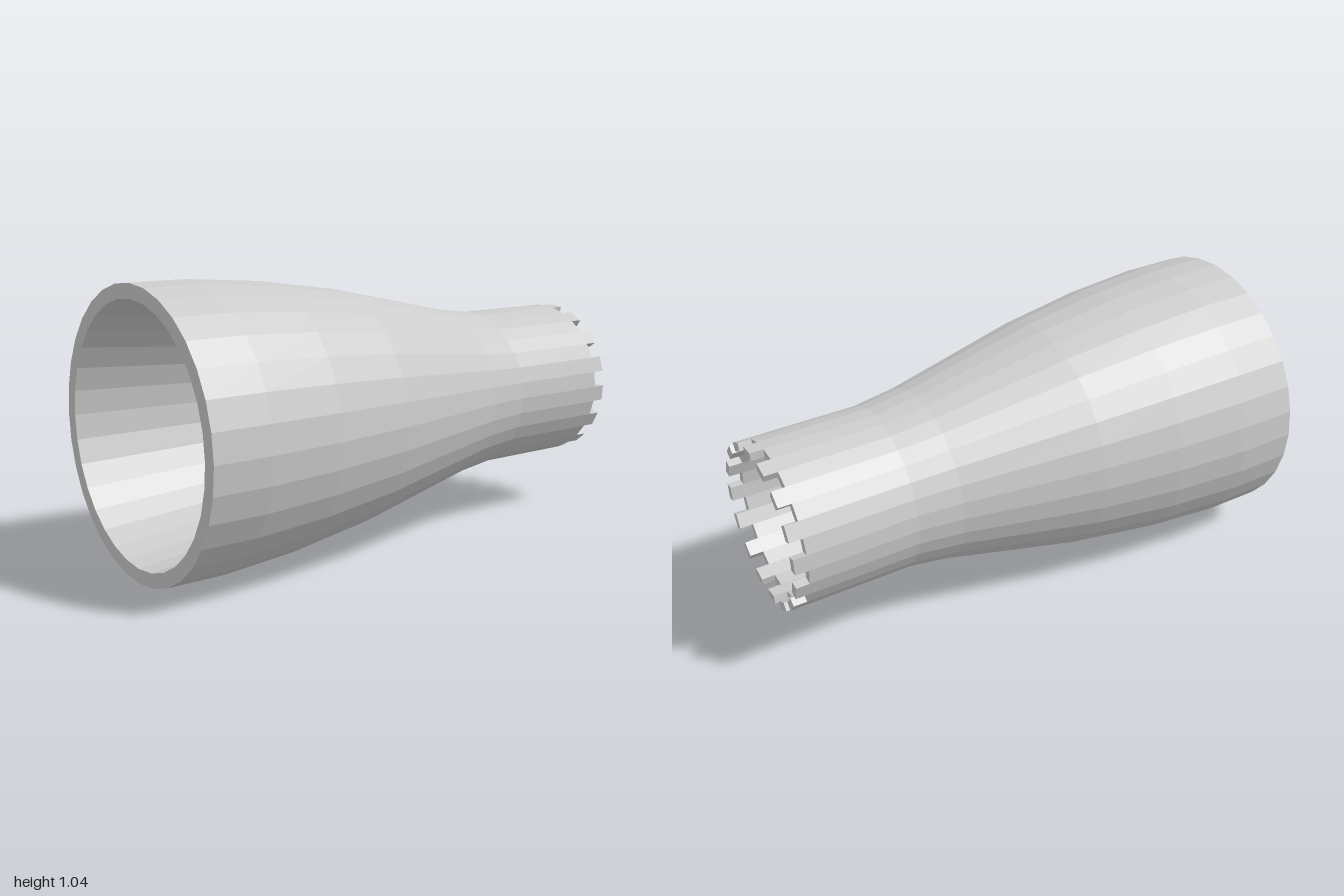
import * as THREE from 'three';

const SIDES = 32;
const STEP = (Math.PI * 2) / SIDES;
const R_OUT = 0.312, R_IN = 0.28;   // narrow end radii
const Z_BACK = -1, Z_NOTCH = -0.95; // tooth tips and notch floor

export function createModel() {
  const model = new THREE.Group();
  model.name = 'notchedNozzle';
  const material = new THREE.MeshStandardMaterial({ color: 0xcccccc, flatShading: true });

  const axis = new THREE.Group();
  axis.name = 'nozzle';
  axis.position.y = 0.52;
  model.add(axis);

  // Closed wall profile (radius, z): outside towards the front, then back along the bore
  const profile = [
    [R_OUT, Z_NOTCH], [R_OUT, -0.53], [0.335, -0.36], [0.45, 0.17], [0.497, 0.49],
    [0.52, 0.78], [0.52, 1],
    [0.467, 1], [R_IN, -0.53], [R_IN, Z_NOTCH], [R_OUT, Z_NOTCH],
  ].map(([r, z]) => new THREE.Vector2(r, z));
  const body = new THREE.Mesh(new THREE.LatheGeometry(profile, SIDES).rotateX(Math.PI / 2), material);
  body.name = 'taperedTube';
  axis.add(body);

  // One tooth spans one side of the tube, ending at angle zero
  const corner = (r, a) => new THREE.Vector2(r * Math.cos(a), r * Math.sin(a));
  const section = new THREE.Shape([
    corner(R_IN, -STEP), corner(R_OUT, -STEP), corner(R_OUT, 0), corner(R_IN, 0),
  ]);
  const toothGeometry = new THREE.ExtrudeGeometry(section, { depth: Z_NOTCH - Z_BACK, bevelEnabled: false });
  toothGeometry.translate(0, 0, Z_BACK);

  // Teeth on every second side around the narrow end
  const teeth = new THREE.Group();
  teeth.name = 'rimTeeth';
  for (let i = 0; i < SIDES / 2; i++) {
    const tooth = new THREE.Mesh(toothGeometry, material);
    tooth.name = 'tooth';
    tooth.rotation.z = i * 2 * STEP;
    teeth.add(tooth);
  }
  axis.add(teeth);

  return model;
}
